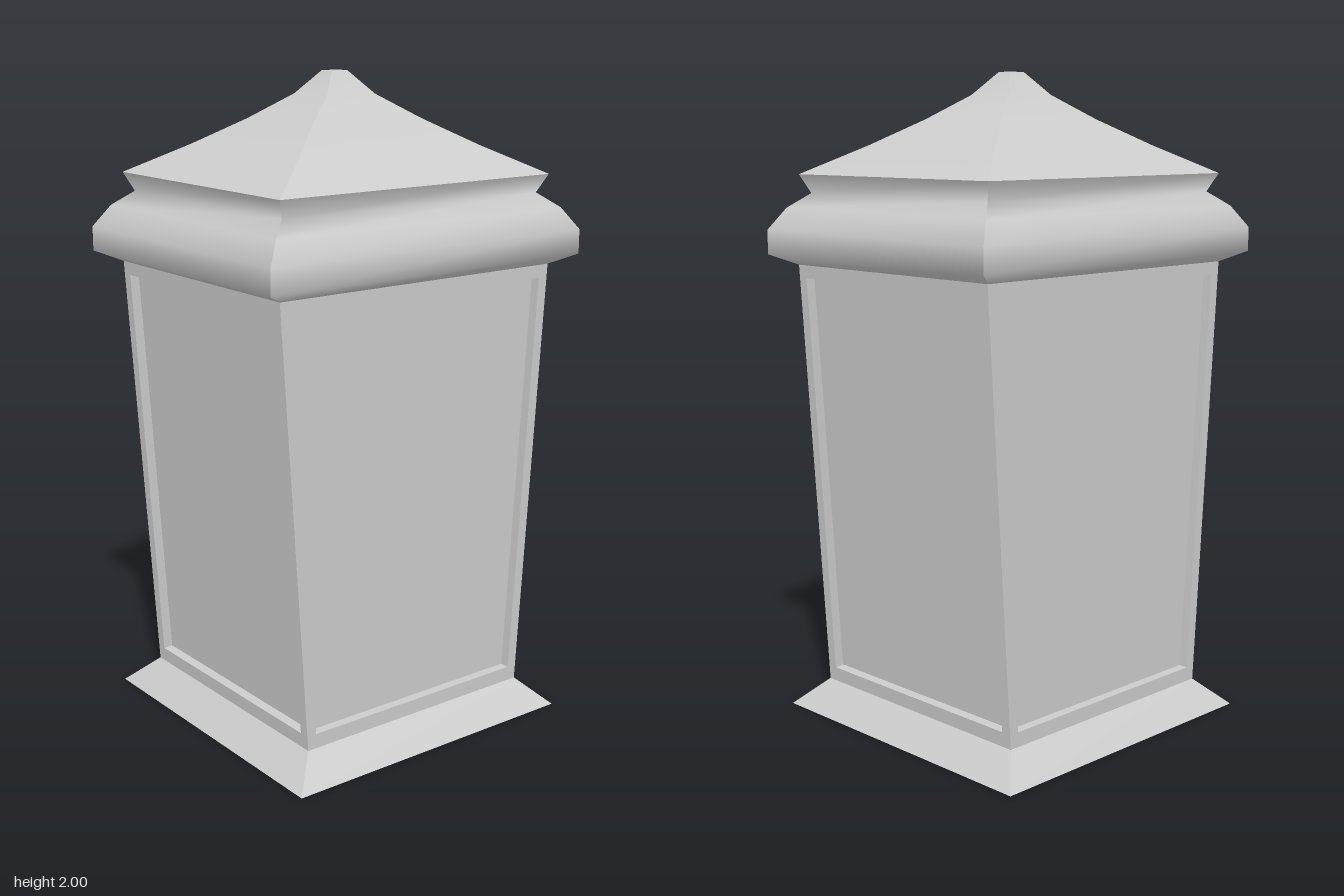
import * as THREE from 'three';

const material = new THREE.MeshStandardMaterial({ color: 0xcccccc });

// Rings are [halfWidth, halfDepth, y]; each becomes four corners, front left first
const corners = ([x, z, y]) =>
  [[-x, z], [x, z], [x, -z], [-x, -z]].map(([a, b]) => new THREE.Vector3(a, y, b));

function toMesh(name, points, index) {
  let geometry = new THREE.BufferGeometry().setFromPoints(points);
  geometry.setIndex(index);
  geometry.computeVertexNormals();
  const mesh = new THREE.Mesh(geometry, material);
  mesh.name = name;
  return mesh;
}

// Rectangular moulding: smooth along the profile, sharp at the four mitred corners
function moulding(name, profile) {
  const points = [], index = [];
  for (let side = 0; side < 4; side++) {
    const start = points.length;
    profile.forEach((ring, i) => {
      const c = corners(ring);
      points.push(c[side], c[(side + 1) % 4]);
      if (i === 0) return;
      const a = start + 2 * (i - 1);
      index.push(a, a + 1, a + 3, a, a + 3, a + 2);
    });
  }
  return toMesh(name, points, index);
}

// Flat rectangle closing the top or the bottom
function cap(name, ring, up) {
  return toMesh(name, corners(ring), up ? [0, 1, 2, 0, 2, 3] : [0, 2, 1, 0, 3, 2]);
}

// One body wall: border, reveal and sunken panel, all with hard edges
function wall(name, side, low, high) {
  const margin = 0.032, depth = 0.03;
  const next = (side + 1) % 4;
  const edge = (y, inset) => {
    const t = (y - low[2]) / (high[2] - low[2]);
    const c = corners(low.map((v, i) => THREE.MathUtils.lerp(v, high[i], t)));
    const along = c[next].clone().sub(c[side]).normalize().multiplyScalar(inset);
    return [c[side].add(along), c[next].sub(along)];
  };
  const loop = (y0, y1, inset) => {
    const [a, b] = edge(y0, inset), [d, c] = edge(y1, inset);
    return [a, b, c, d];
  };
  const outer = loop(low[2], high[2], 0);
  const opening = loop(0.13, 1.385, margin);
  const normal = new THREE.Vector3().crossVectors(
    outer[1].clone().sub(outer[0]), outer[3].clone().sub(outer[0])).normalize();
  const sunken = opening.map(p => p.clone().addScaledVector(normal, -depth));

  const points = [], index = [];
  const quad = (a, b, c, d) => {
    const n = points.length;
    points.push(a, b, c, d);
    index.push(n, n + 1, n + 2, n, n + 2, n + 3);
  };
  for (const [from, to] of [[outer, opening], [opening, sunken]]) {
    for (let i = 0; i < 4; i++) {
      const j = (i + 1) % 4;
      quad(from[i], from[j], to[j], to[i]);
    }
  }
  quad(...sunken);
  return toMesh(name, points, index);
}

export function createModel() {
  const model = new THREE.Group();
  model.name = 'lantern';

  const foot = [0.5, 0.5, 0];
  const bodyLow = [0.413, 0.412, 0.085];
  const bodyHigh = [0.413, 0.499, 1.425];
  const eave = [0.41, 0.494, 1.697];
  const tip = [0.024, 0.029, 2];

  // Flared base
  model.add(cap('baseUnderside', foot, false), moulding('base', [foot, bodyLow]));

  // Tapered body with a recessed panel on every side
  const body = new THREE.Group();
  body.name = 'body';
  ['frontPanel', 'leftPanel', 'backPanel', 'rightPanel'].forEach((name, side) =>
    body.add(wall(name, side, bodyLow, bodyHigh)));
  model.add(body);

  // Bulging cornice and the undercut below the roof
  model.add(moulding('cornice', [
    bodyHigh,
    [0.472, 0.57, 1.457],
    [0.472, 0.57, 1.531],
    [0.434, 0.525, 1.597],
    [0.383, 0.469, 1.641],
    eave,
  ]));

  // Concave hipped roof with a small flat tip
  model.add(moulding('roof', [
    eave,
    [0.275, 0.334, 1.782],
    [0.163, 0.204, 1.859],
    [0.08, 0.09, 1.932],
    tip,
  ]), cap('roofTip', tip, true));

  return model;
}
